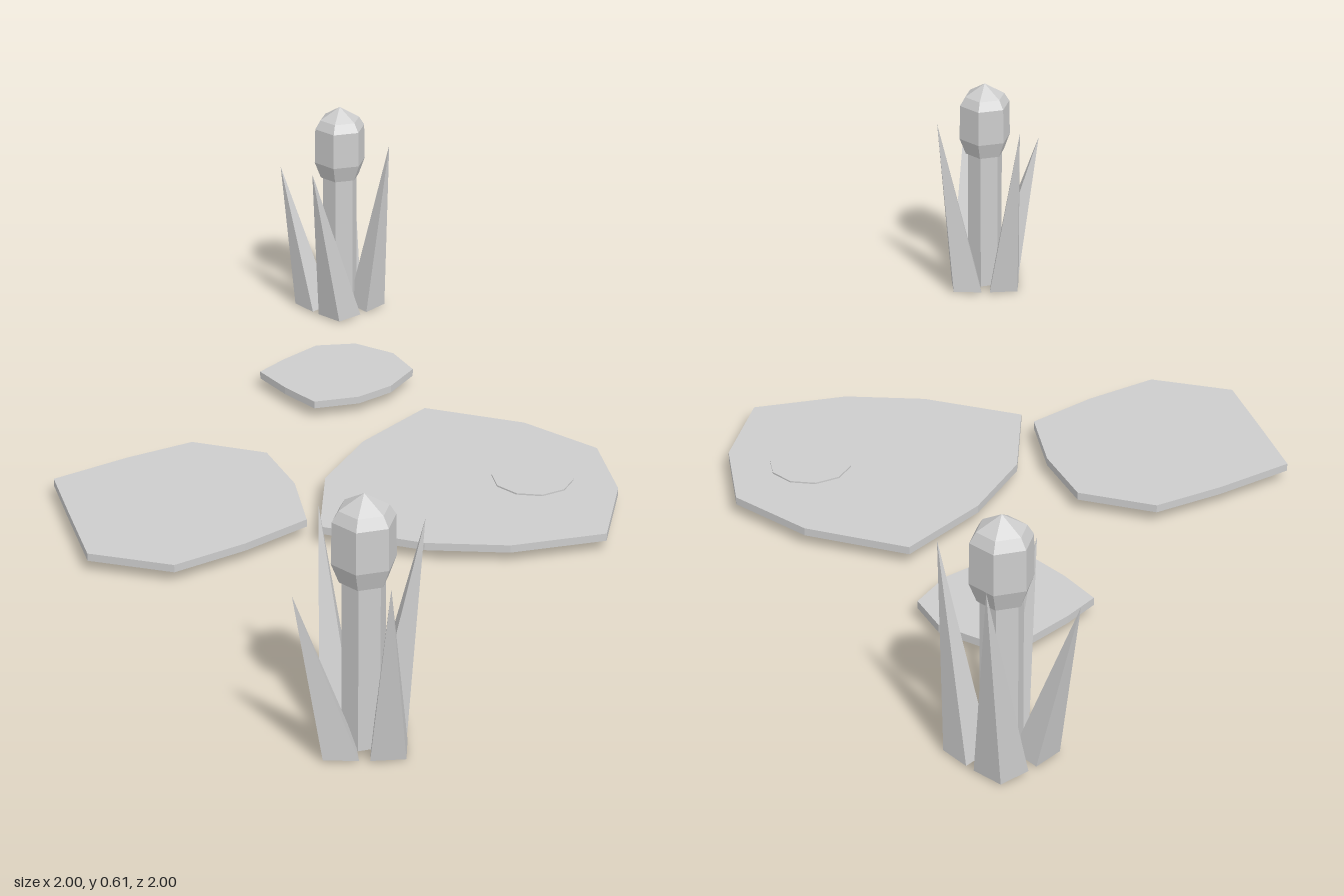
import * as THREE from 'three';

const grey = new THREE.MeshStandardMaterial({ color: 0xcccccc, flatShading: true });
grey.name = 'light grey';

function addMesh(parent, name, geometry) {
  const mesh = new THREE.Mesh(geometry, grey);
  mesh.name = name;
  parent.add(mesh);
  return mesh;
}

// Flat polygonal pad from an outline of [x, z] points
function padGeometry(outline) {
  const shape = new THREE.Shape(outline.map(([x, z]) => new THREE.Vector2(x, -z)));
  return new THREE.ExtrudeGeometry(shape, { depth: 0.02, bevelEnabled: false })
    .rotateX(-Math.PI / 2)
    .translate(0, 0.03, 0);
}

// Four-sided spike on a square foot, leaning towards its tip
function leafGeometry(angle, tip) {
  const radial = new THREE.Vector3(Math.cos(angle), 0, Math.sin(angle));
  const across = new THREE.Vector3(radial.z, 0, -radial.x);
  const foot = radial.clone().multiplyScalar(0.077).setY(0.005);
  const matrix = new THREE.Matrix4().makeBasis(
    across.multiplyScalar(0.06),
    new THREE.Vector3(...tip).sub(foot),
    radial.multiplyScalar(0.052)
  ).setPosition(foot);
  return new THREE.ConeGeometry(1, 1, 4).translate(0, 0.5, 0).applyMatrix4(matrix);
}

const leafTips = [
  [0.14, 0.515, 0.05],
  [-0.075, 0.465, 0.15],
  [-0.17, 0.41, -0.05],
  [0.03, 0.515, -0.165],
];

const budProfile = [
  [0, 0.403], [0.056, 0.403], [0.074, 0.45], [0.072, 0.55], [0.057, 0.575], [0, 0.61],
].map(([r, y]) => new THREE.Vector2(r, y));

function createReed(name, x, z, turn) {
  const reed = new THREE.Group();
  reed.name = name;
  reed.position.set(x, 0, z);
  addMesh(reed, 'stem', new THREE.CylinderGeometry(0.05, 0.05, 0.41, 6).translate(0, 0.205, 0));
  addMesh(reed, 'bud', new THREE.LatheGeometry(budProfile, 6));
  const leaves = new THREE.Group();
  leaves.name = 'leaves';
  leaves.rotation.y = -turn;
  leafTips.forEach((tip, i) => addMesh(leaves, 'leaf', leafGeometry(i * Math.PI / 2, tip)));
  reed.add(leaves);
  return reed;
}

export function createModel() {
  const model = new THREE.Group();
  model.name = 'lilyPads';

  // Floating pads
  addMesh(model, 'largePad', padGeometry([
    [-0.24, 0.13], [-0.04, -0.045], [0.18, -0.12], [0.44, -0.14], [0.555, 0.11],
    [0.57, 0.345], [0.43, 0.53], [0.22, 0.665], [0.01, 0.535], [-0.125, 0.375],
  ]));
  addMesh(model, 'mediumPad', padGeometry([
    [-0.52, -0.54], [-0.31, -0.495], [-0.13, -0.44], [-0.04, -0.255], [-0.115, -0.08],
    [-0.235, 0.08], [-0.43, 0.06], [-0.625, 0.015], [-0.73, -0.18], [-0.62, -0.37],
  ]));
  addMesh(model, 'smallPad', padGeometry([
    [0.3, -0.62], [0.4, -0.63], [0.53, -0.63], [0.615, -0.56], [0.64, -0.44],
    [0.6, -0.33], [0.48, -0.3], [0.37, -0.315], [0.265, -0.38], [0.275, -0.5],
  ]));

  // Thin raised disc on the large pad
  addMesh(model, 'padDisc', new THREE.CylinderGeometry(0.105, 0.105, 0.006, 10)
    .translate(0.325, 0.051, 0.335));

  // Reeds at opposite corners
  model.add(createReed('frontReed', -0.83, 0.835, 0));
  model.add(createReed('backReed', 0.86, -0.855, 0.82));
  return model;
}
